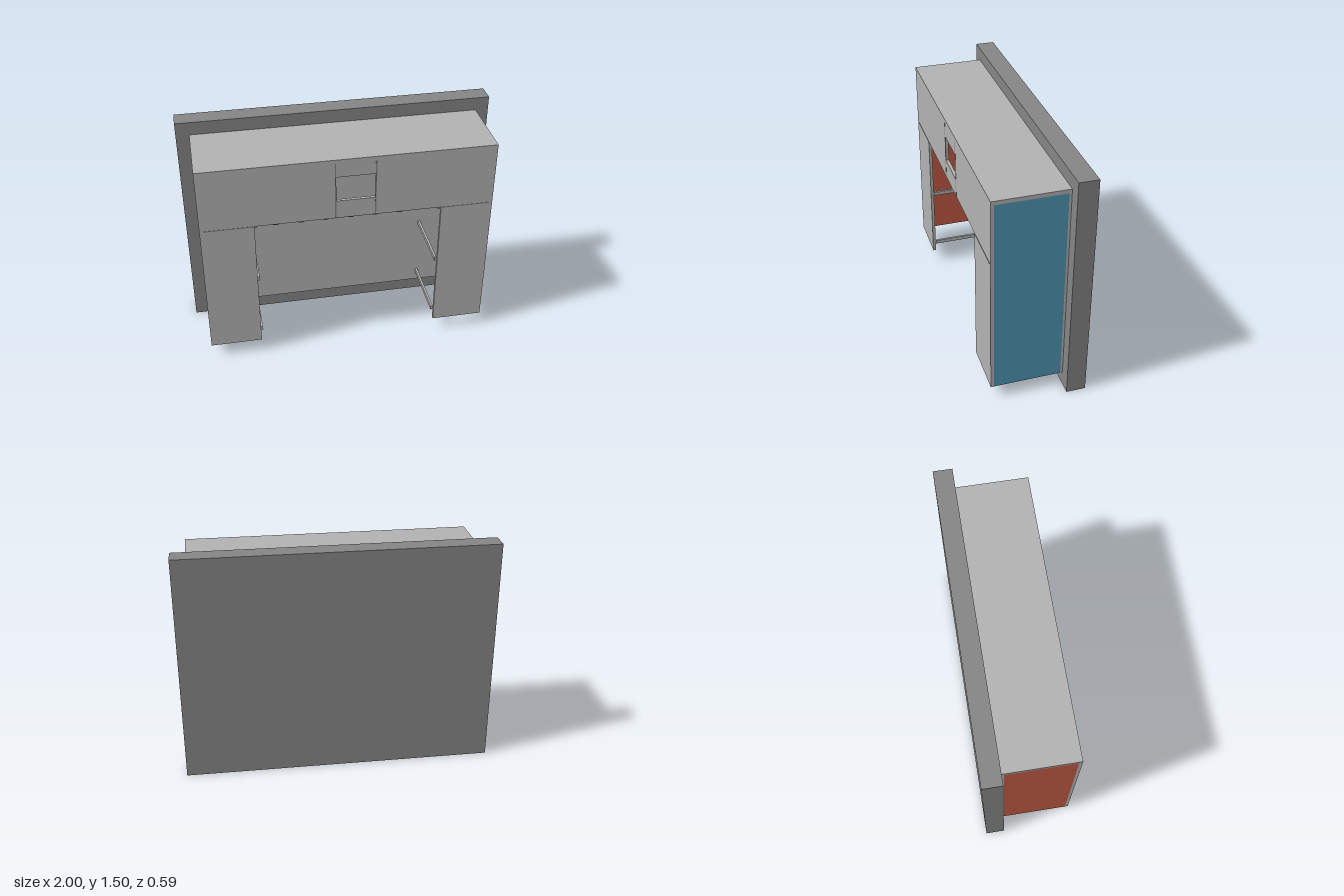
import * as THREE from 'three';

const mat = (name, color) => {
  const m = new THREE.MeshStandardMaterial({ color });
  m.name = name;
  return m;
};

export function createModel() {
  const group = new THREE.Group();
  const light = mat('light grey', 0xb2b2b2);
  const dark = mat('dark grey', 0x858585);
  const blue = mat('blue', 0x5096b4);
  const red = mat('red', 0xc05a42);
  const pale = mat('pale grey', 0xc2c2c2);

  // box given by its limits on each axis
  const box = (name, m, x0, x1, y0, y1, z0, z1) => {
    const mesh = new THREE.Mesh(new THREE.BoxGeometry(x1 - x0, y1 - y0, z1 - z0), m);
    mesh.position.set((x0 + x1) / 2, (y0 + y1) / 2, (z0 + z1) / 2);
    mesh.name = name;
    group.add(mesh);
    return mesh;
  };

  const W = 0.917, F = 0.292, B = -0.17;

  // wall slab and cabinet shell, open at the bottom
  box('wallSlab', dark, -1, 1, 0, 1.5, -0.292, B);
  box('backPanel', light, -W, W, 0.09, 1.39, B, -0.155);
  box('topPanel', light, -W, W, 1.39, 1.415, B, F);
  box('leftSide', blue, W - 0.018, W, 0.09, 1.39, -0.155, 0.272);
  box('rightSide', red, -W, -W + 0.018, 0.09, 1.39, -0.155, 0.272);

  // front with a wide opening below and a small window above
  const s = new THREE.Shape();
  [[-W, 0.09], [-0.585, 0.09], [-0.585, 1.003], [0.585, 1.003], [0.585, 0.09], [W, 0.09], [W, 1.39], [-W, 1.39]]
    .forEach(([x, y], i) => (i ? s.lineTo(x, y) : s.moveTo(x, y)));
  const hole = new THREE.Path();
  hole.moveTo(-0.085, 1.127);
  hole.lineTo(-0.085, 1.295);
  hole.lineTo(0.165, 1.295);
  hole.lineTo(0.165, 1.127);
  s.holes.push(hole);
  const front = new THREE.Mesh(new THREE.ExtrudeGeometry(s, { depth: 0.02, bevelEnabled: false }), light);
  front.position.z = 0.272;
  front.name = 'frontPanel';
  group.add(front);

  // thin seams between the front panels
  for (const x of [-0.085, 0.165]) box('windowSeam', dark, x - 0.004, x + 0.004, 1.003, 1.39, F - 0.004, F + 0.001);
  for (const k of [-1, 1]) {
    const x = k * 0.74;
    box('doorSeam', dark, x - 0.155, x + 0.155, 0.998, 1.004, F - 0.004, F + 0.001);

    // drawer rails from front to back beside the opening
    for (const y of [0.17, 0.585, 0.99]) {
      box('rail', light, k * 0.578 - 0.0075, k * 0.578 + 0.0075, y - 0.013, y + 0.013, -0.155, 0.272);
    }
  }

  // small fittings on the back panel
  box('wallBox', light, -0.88, -0.75, 0.52, 0.7, -0.155, -0.07);
  box('innerShelf', light, -0.45, -0.24, 1.01, 1.03, -0.155, 0.1);

  // row of balls
  for (let i = 0; i < 6; i++) {
    const ball = new THREE.Mesh(new THREE.SphereGeometry(0.058, 32, 20), i % 3 === 1 ? pale : dark);
    ball.position.set(-0.418 + i * 0.1667, 0.795, -0.1);
    ball.name = 'ball';
    group.add(ball);
  }
  return group;
}
